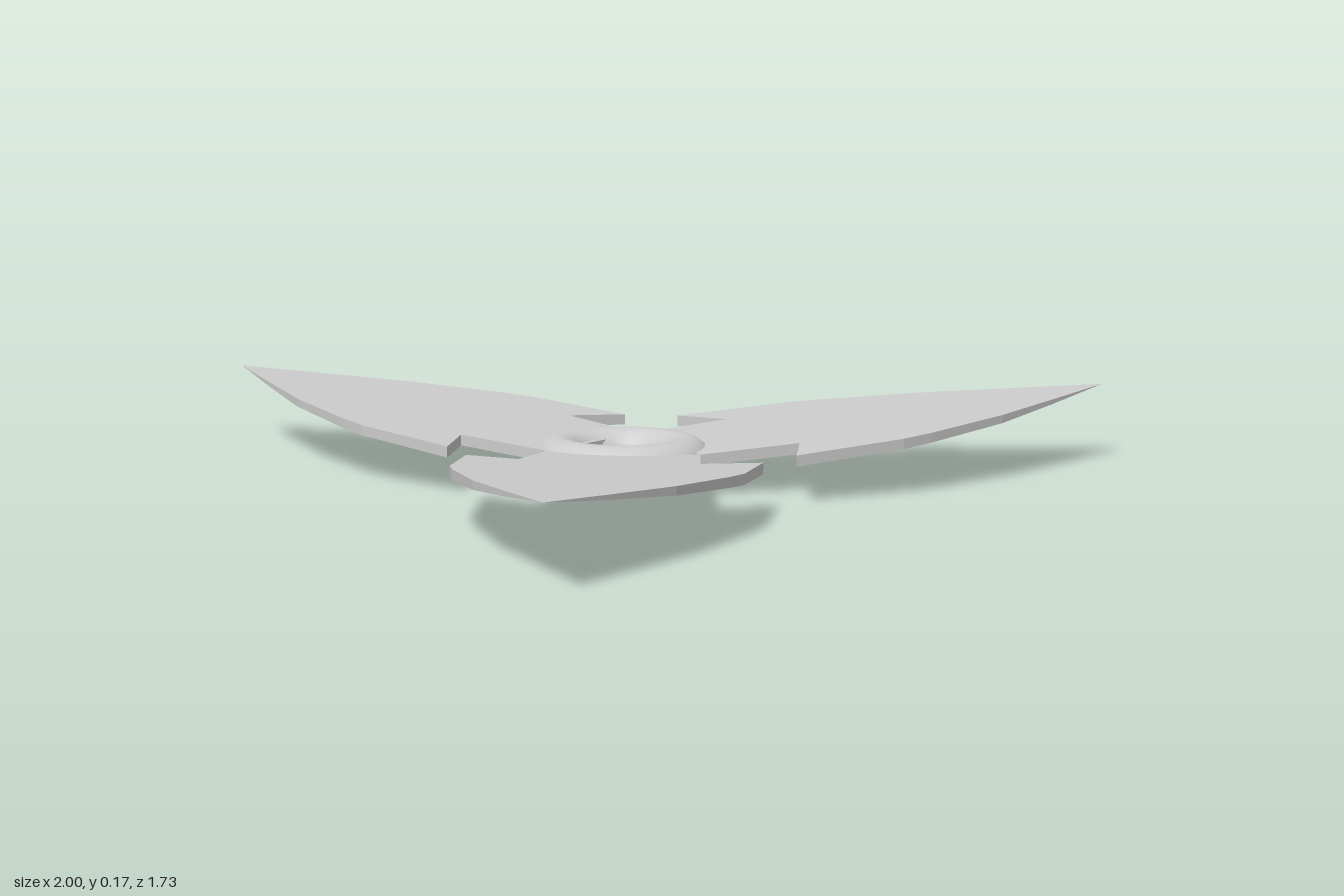
import * as THREE from 'three';

// Half outline of a blade: [half width, distance from the hub centre], root to tip
const HALF = [
  [0.161, 0.093], [0.185, 0.31], [0.305, 0.245], [0.29, 0.5],
  [0.27, 0.575], [0.19, 0.79], [0.1, 0.965],
];
const TIP = 1.155;

// Plate thickness along the blade, thinning to a point at the tip
const THICKNESS = [[0, 0.025], [0.5, 0.022], [0.85, 0.017], [TIP, 0]];

function thicknessAt(r) {
  for (let i = 1; i < THICKNESS.length; i++) {
    const [r0, t0] = THICKNESS[i - 1];
    const [r1, t1] = THICKNESS[i];
    if (r <= r1) return THREE.MathUtils.mapLinear(r, r0, r1, t0, t1);
  }
  return 0;
}

function bladeGeometry() {
  const right = HALF.map(([x, r]) => new THREE.Vector2(x, r));
  const left = HALF.map(([x, r]) => new THREE.Vector2(-x, r)).reverse();
  const shape = new THREE.Shape([...right, new THREE.Vector2(0, TIP), ...left]);
  const geo = new THREE.ExtrudeGeometry(shape, { depth: 1, bevelEnabled: false });
  geo.rotateX(-Math.PI / 2);
  // Slope the plate upward toward the tip and taper its underside
  const pos = geo.attributes.position;
  for (let i = 0; i < pos.count; i++) {
    const r = -pos.getZ(i);
    const top = 0.082 + 0.0743 * r;
    pos.setY(i, pos.getY(i) > 0.5 ? top : top - thicknessAt(r));
  }
  geo.computeVertexNormals();
  return geo;
}

export function createModel() {
  const group = new THREE.Group();
  const material = new THREE.MeshStandardMaterial({ color: 0xcccccc });

  // Three barbed blades around the hub
  const blades = new THREE.Group();
  blades.name = 'blades';
  blades.position.z = 0.289;
  const geo = bladeGeometry();
  for (let i = 0; i < 3; i++) {
    const blade = new THREE.Mesh(geo, material);
    blade.name = 'blade' + (i + 1);
    blade.rotation.y = (i * Math.PI * 2) / 3;
    blades.add(blade);
  }
  group.add(blades);

  // Rounded centre ring
  const ring = new THREE.Mesh(new THREE.TorusGeometry(0.135, 0.055, 24, 64), material);
  ring.name = 'centreRing';
  ring.rotation.x = Math.PI / 2;
  ring.position.set(-0.005, 0.055, 0.276);
  group.add(ring);

  return group;
}
